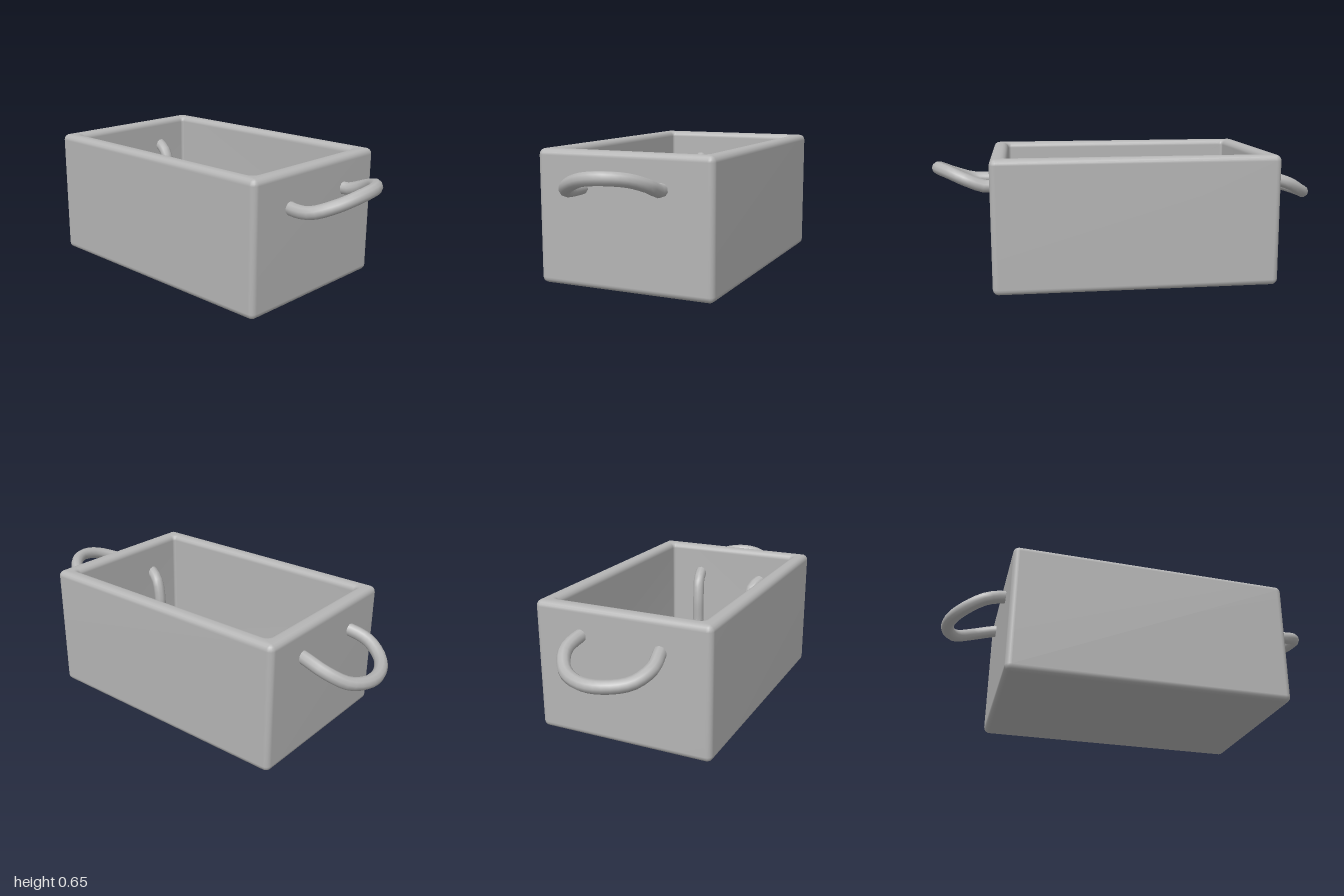
import * as THREE from 'three';

// Closed skin through rounded-rectangle rings given as [halfX, halfZ, cornerRadius, y]
function loftRings(rings, cornerSteps = 4) {
  const pos = [], idx = [];
  const n = 4 * (cornerSteps + 1);
  const signs = [[1, 1], [-1, 1], [-1, -1], [1, -1]];
  for (const [hx, hz, r, y] of rings) {
    signs.forEach(([sx, sz], q) => {
      for (let k = 0; k <= cornerSteps; k++) {
        const a = (q + k / cornerSteps) * Math.PI / 2;
        pos.push(sx * (hx - r) + r * Math.cos(a), y, sz * (hz - r) + r * Math.sin(a));
      }
    });
  }
  for (let i = 0; i < rings.length - 1; i++) {
    for (let j = 0; j < n; j++) {
      const a = i * n + j, b = i * n + (j + 1) % n, c = a + n, d = b + n;
      idx.push(a, c, b, b, c, d);
    }
  }
  const g = new THREE.BufferGeometry();
  g.setAttribute('position', new THREE.Float32BufferAttribute(pos, 3));
  g.setIndex(idx);
  g.computeVertexNormals();
  return g;
}

export function createModel() {
  const model = new THREE.Group();
  const grey = new THREE.MeshStandardMaterial({ color: 0xb5b5b5 });
  grey.name = 'plain grey';

  // Open box: underside, outer wall, rounded rim, inner wall, floor
  const hx = 0.702, hz = 0.452, ix = 0.622, iz = 0.374, top = 0.655, floor = 0.08, e = 0.03;
  const rings = [[0, 0, 0, 0.003], [hx - e, hz - e, 0.005, 0.003]];
  for (let k = 1; k <= 4; k++) {
    const a = k / 4 * Math.PI / 2, s = e * (1 - Math.sin(a));
    rings.push([hx - s, hz - s, Math.max(0.005, e - s), 0.003 + e * (1 - Math.cos(a))]);
  }
  for (let k = 0; k <= 4; k++) {
    const a = k / 4 * Math.PI / 2, s = e * (1 - Math.cos(a));
    rings.push([hx - s, hz - s, Math.max(0.005, e - s), top - e + e * Math.sin(a)]);
  }
  for (let k = 0; k <= 4; k++) {
    const a = k / 4 * Math.PI / 2, s = e * (1 - Math.sin(a));
    rings.push([ix + s, iz + s, 0.015 + s, top - e + e * Math.cos(a)]);
  }
  rings.push([ix, iz, 0.015, floor + 0.015], [ix - 0.015, iz - 0.015, 0.005, floor], [0, 0, 0, floor]);
  const box = new THREE.Mesh(loftRings(rings), grey);
  box.name = 'box';
  box.position.x = -0.007;
  model.add(box);

  // Rope handles: loop outside the end wall, both tails hanging inside
  const paths = {
    leftHandle: [
      [0.53, 0.22, 0.15], [0.53, 0.36, 0.15], [0.56, 0.45, 0.16], [0.64, 0.485, 0.19], [0.72, 0.48, 0.212],
      [0.81, 0.485, 0.21], [0.9, 0.52, 0.15], [0.96, 0.56, 0.04], [0.958, 0.57, -0.06],
      [0.9, 0.56, -0.15], [0.82, 0.53, -0.2], [0.72, 0.495, -0.205], [0.64, 0.5, -0.195],
      [0.56, 0.46, -0.18], [0.53, 0.36, -0.17], [0.53, 0.22, -0.17],
    ],
    rightHandle: [
      [-0.54, 0.22, 0.17], [-0.54, 0.36, 0.17], [-0.57, 0.46, 0.175], [-0.65, 0.505, 0.19], [-0.73, 0.495, 0.21],
      [-0.81, 0.465, 0.22], [-0.9, 0.425, 0.17], [-0.96, 0.41, 0.06], [-0.965, 0.41, -0.05],
      [-0.92, 0.43, -0.15], [-0.83, 0.48, -0.21], [-0.73, 0.51, -0.21], [-0.65, 0.515, -0.195],
      [-0.57, 0.47, -0.18], [-0.54, 0.36, -0.175], [-0.54, 0.22, -0.175],
    ],
  };
  for (const [name, pts] of Object.entries(paths)) {
    const handle = new THREE.Group();
    handle.name = name;
    const curve = new THREE.CatmullRomCurve3(pts.map(p => new THREE.Vector3(...p)));
    const rope = new THREE.Mesh(new THREE.TubeGeometry(curve, 48, 0.032, 10), grey);
    rope.name = 'rope';
    handle.add(rope);
    // Rounded tips close the rope
    for (const p of [pts[0], pts[pts.length - 1]]) {
      const tip = new THREE.Mesh(new THREE.SphereGeometry(0.032, 10, 8), grey);
      tip.name = 'ropeTip';
      tip.position.set(...p);
      handle.add(tip);
    }
    model.add(handle);
  }
  return model;
}
